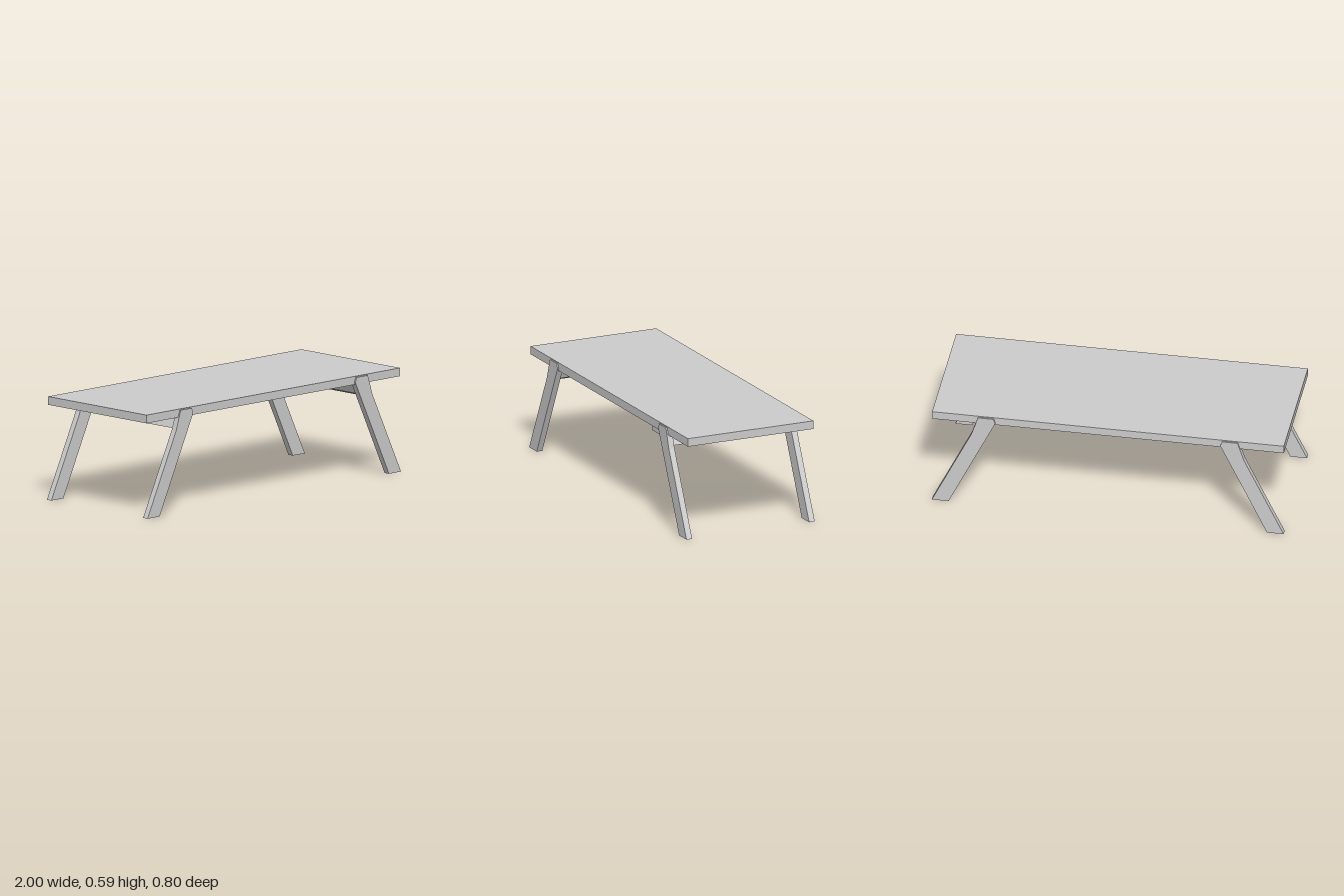
import * as THREE from 'three';

const material = new THREE.MeshStandardMaterial({ color: 0xcccccc, flatShading: true });

// Extrudes an x/y outline along z, from z0 to z1
function prism(name, points, z0, z1) {
  const shape = new THREE.Shape(points.map(([x, y]) => new THREE.Vector2(x, y)));
  const geometry = new THREE.ExtrudeGeometry(shape, { depth: z1 - z0, bevelEnabled: false });
  geometry.translate(0, 0, z0);
  const mesh = new THREE.Mesh(geometry, material);
  mesh.name = name;
  return mesh;
}

export function createModel() {
  const table = new THREE.Group();
  table.name = 'table';

  // Flat rectangular top
  const top = new THREE.Mesh(new THREE.BoxGeometry(2, 0.047, 0.784), material);
  top.name = 'tableTop';
  top.position.y = 0.5665;
  table.add(top);

  // Splayed leg outline and the slanted rail between each pair of legs
  const legOutline = [[1, 0], [0.905, 0], [0.64, 0.555], [0.65, 0.584], [0.738, 0.584], [0.775, 0.47]];
  const railOutline = [[0.692, 0.481], [0.719, 0.468], [0.692, 0.525], [0.665, 0.538]];
  railOutline.sort((a, b) => Math.atan2(a[1] - 0.503, a[0] - 0.692) - Math.atan2(b[1] - 0.503, b[0] - 0.692));

  for (const side of [1, -1]) {
    const mirror = (outline) => outline.map(([x, y]) => [x * side, y]);
    const sideName = side > 0 ? 'left' : 'right';
    table.add(prism(sideName + 'FrontLeg', mirror(legOutline), 0.365, 0.4));
    table.add(prism(sideName + 'BackLeg', mirror(legOutline), -0.4, -0.365));
    table.add(prism(sideName + 'Rail', mirror(railOutline), -0.37, 0.37));
  }
  return table;
}
